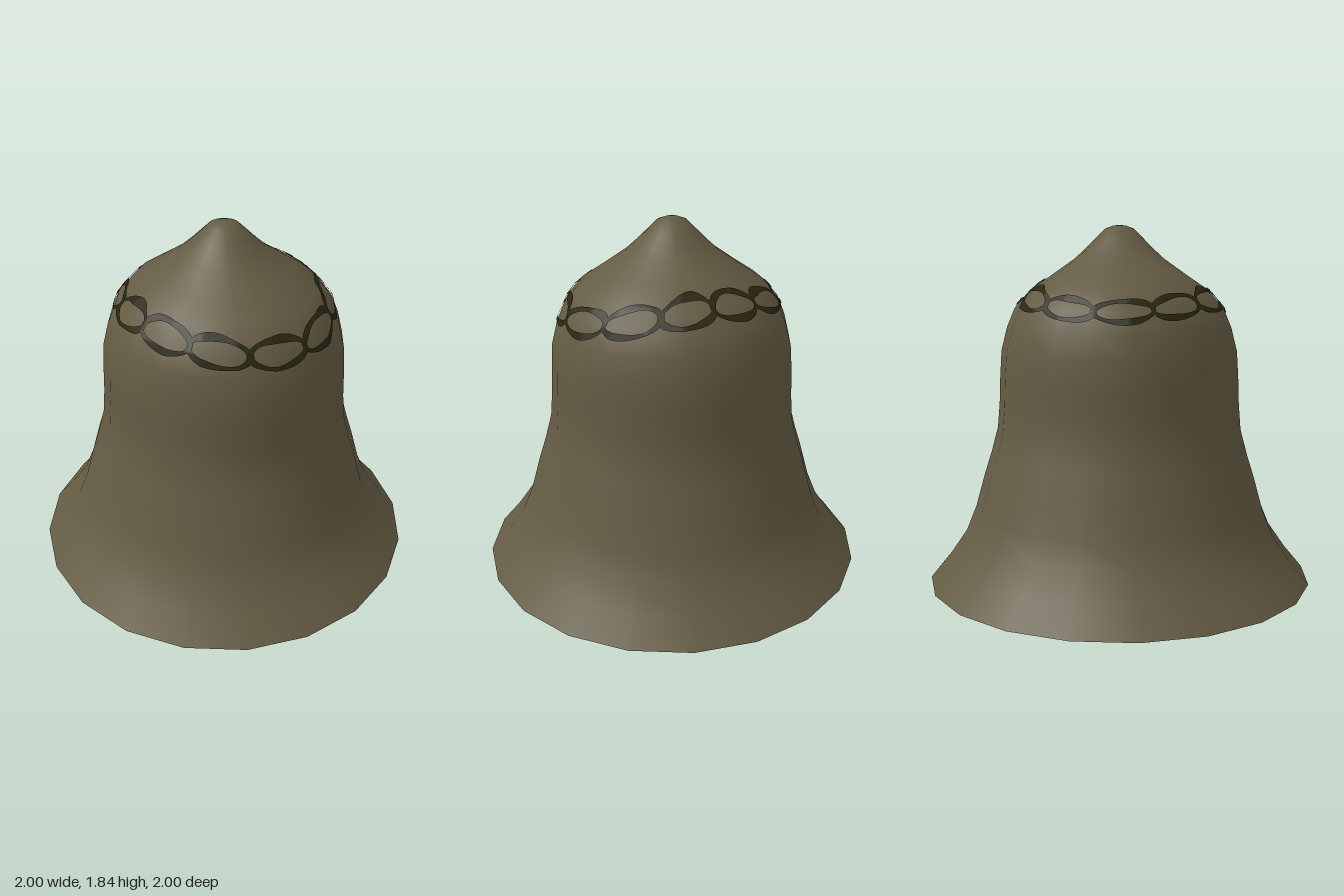
import * as THREE from 'three';

const SIDES = 20;

// Outer bell profile, [radius, height] from rim to crown
const PROFILE = [
  [1, 0], [0.9, 0.12], [0.81, 0.25], [0.757, 0.38], [0.71, 0.55], [0.672, 0.67],
  [0.637, 0.8], [0.626, 0.93], [0.621, 1.06], [0.612, 1.2], [0.582, 1.32],
  [0.54, 1.42], [0.462, 1.51], [0.35, 1.585], [0.23, 1.67], [0.175, 1.72],
  [0.125, 1.77], [0.075, 1.82], [0.035, 1.835], [0, 1.84],
];

const lathe = (points, sides) =>
  new THREE.LatheGeometry(points.map(([r, y]) => new THREE.Vector2(r, y)), sides);

// Radius of the faceted bell at a height and an angle
function surfaceRadius(y, angle) {
  let i = 1;
  while (i < PROFILE.length - 1 && PROFILE[i][1] < y) i++;
  const [r0, y0] = PROFILE[i - 1], [r1, y1] = PROFILE[i];
  const r = r0 + (r1 - r0) * (y - y0) / (y1 - y0);
  const step = 2 * Math.PI / SIDES;
  const local = ((angle % step) + step) % step - step / 2;
  return r * Math.cos(step / 2) / Math.cos(local);
}

// Height of the chain as it winds around the shoulder
const chainHeight = (a) =>
  1.445 + 0.04 * Math.cos(2 * a) - 0.02 * Math.cos(a) - 0.012 * Math.sin(a);

// One oval link, a flat band laid on the bell surface
function linkGeometry(center, halfAngle, halfHeight, index) {
  const steps = 64, rows = 4, positions = [], indices = [];
  for (let i = 0; i <= steps; i++) {
    const t = i / steps * Math.PI * 2;
    const half = 0.013 + 0.004 * Math.sin(3 * t + index * 2);
    for (let j = 0; j < rows; j++) {
      const d = (j / (rows - 1) * 2 - 1) * half;
      const a = center + Math.cos(t) * (halfAngle + d / 0.52);
      const y = chainHeight(a) + Math.sin(t) * (halfHeight + d);
      const r = surfaceRadius(y, a) + 0.006;
      positions.push(Math.sin(a) * r, y + 0.003, Math.cos(a) * r);
      if (i < steps && j < rows - 1) {
        const k = i * rows + j;
        indices.push(k, k + 1, k + rows, k + 1, k + rows + 1, k + rows);
      }
    }
  }
  const g = new THREE.BufferGeometry();
  g.setAttribute('position', new THREE.Float32BufferAttribute(positions, 3));
  g.setIndex(indices);
  g.computeVertexNormals();
  return g;
}

export function createModel() {
  const group = new THREE.Group();
  group.name = 'bell';

  const bronze = new THREE.MeshStandardMaterial({ color: 0x645b43 });
  bronze.name = 'bronze';
  const darkOlive = new THREE.MeshStandardMaterial({ color: 0x29260f, side: THREE.DoubleSide });
  darkOlive.name = 'dark olive';

  const add = (name, geometry, material, parent = group) => {
    const mesh = new THREE.Mesh(geometry, material);
    mesh.name = name;
    parent.add(mesh);
    return mesh;
  };

  // Shell: outside, inside and the thin rim joining them
  add('outerShell', lathe(PROFILE, SIDES), bronze);
  const inner = PROFILE.map(([r, y], i) =>
    [Math.max(0, r - 0.018), i === 0 ? 0 : y - 0.012]).reverse();
  add('innerShell', lathe(inner, SIDES), bronze);
  add('rim', lathe([[0.982, 0], [1, 0]], SIDES), bronze);

  // Clapper: octagonal rod with a faceted bulb and a small recessed tip
  const clapper = lathe([
    [0, 0.11], [0.04, 0.11], [0.05, 0.095], [0.075, 0.105], [0.115, 0.165],
    [0.115, 0.235], [0.08, 0.32], [0.08, 1.7],
  ], 8).toNonIndexed();
  clapper.computeVertexNormals();
  add('clapper', clapper, bronze);

  // Chain of overlapping links around the shoulder
  const chain = new THREE.Group();
  chain.name = 'chain';
  group.add(chain);
  const links = 12;
  for (let i = 0; i < links; i++) {
    const center = (i + 0.5) / links * Math.PI * 2;
    add('chainLink', linkGeometry(center, 0.265, 0.053 + 0.006 * Math.sin(center), i), darkOlive, chain);
  }
  return group;
}
